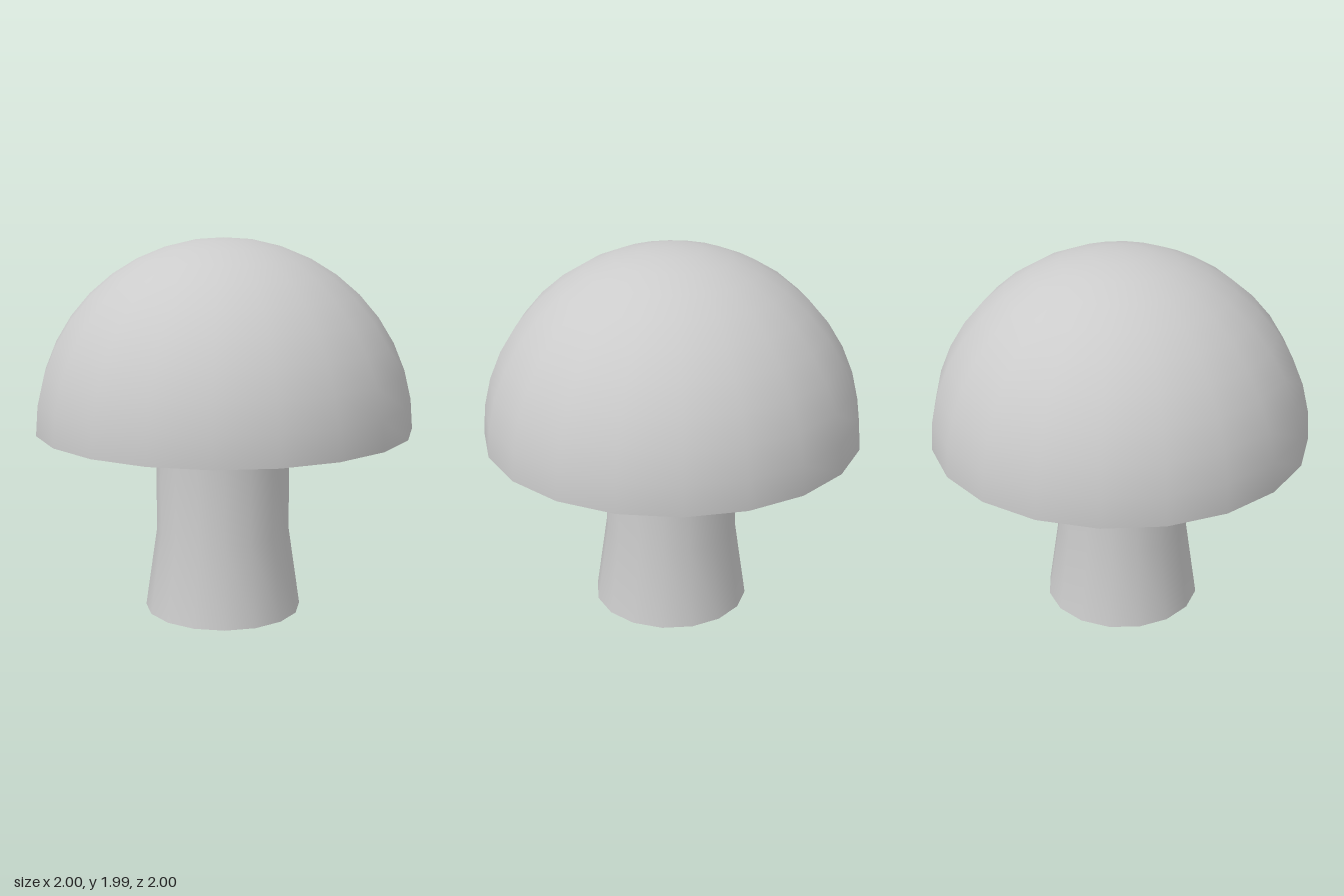
import * as THREE from 'three';

const material = new THREE.MeshStandardMaterial({ color: 0xcccccc });

function addMesh(parent, name, geometry, y = 0) {
  const mesh = new THREE.Mesh(geometry, material);
  mesh.name = name;
  mesh.position.y = y;
  parent.add(mesh);
  return mesh;
}

// Flat disc facing up or down
function addDisc(parent, name, radius, sides, y, up) {
  const disc = addMesh(parent, name, new THREE.CircleGeometry(radius, sides), y);
  disc.rotation.x = up ? -Math.PI / 2 : Math.PI / 2;
}

export function createModel() {
  const model = new THREE.Group();
  model.name = 'mushroom';

  // Domed cap with a flat underside
  const cap = new THREE.Group();
  cap.name = 'cap';
  cap.position.y = 0.99;
  addMesh(cap, 'capDome', new THREE.SphereGeometry(1, 20, 10, 0, Math.PI * 2, 0, Math.PI / 2));
  addDisc(cap, 'capUnderside', 1, 20, 0, false);

  // Stem: flared foot below a straight shaft, just short of the cap
  const stem = new THREE.Group();
  stem.name = 'stem';
  stem.position.z = 0.015;
  const profile = [[0.42, 0], [0.357, 0.43], [0.357, 0.94]].map(([r, y]) => new THREE.Vector2(r, y));
  addMesh(stem, 'stemSide', new THREE.LatheGeometry(profile, 16));
  addDisc(stem, 'stemBase', 0.42, 16, 0, false);
  addDisc(stem, 'stemTop', 0.357, 16, 0.94, true);

  model.add(cap, stem);
  return model;
}
